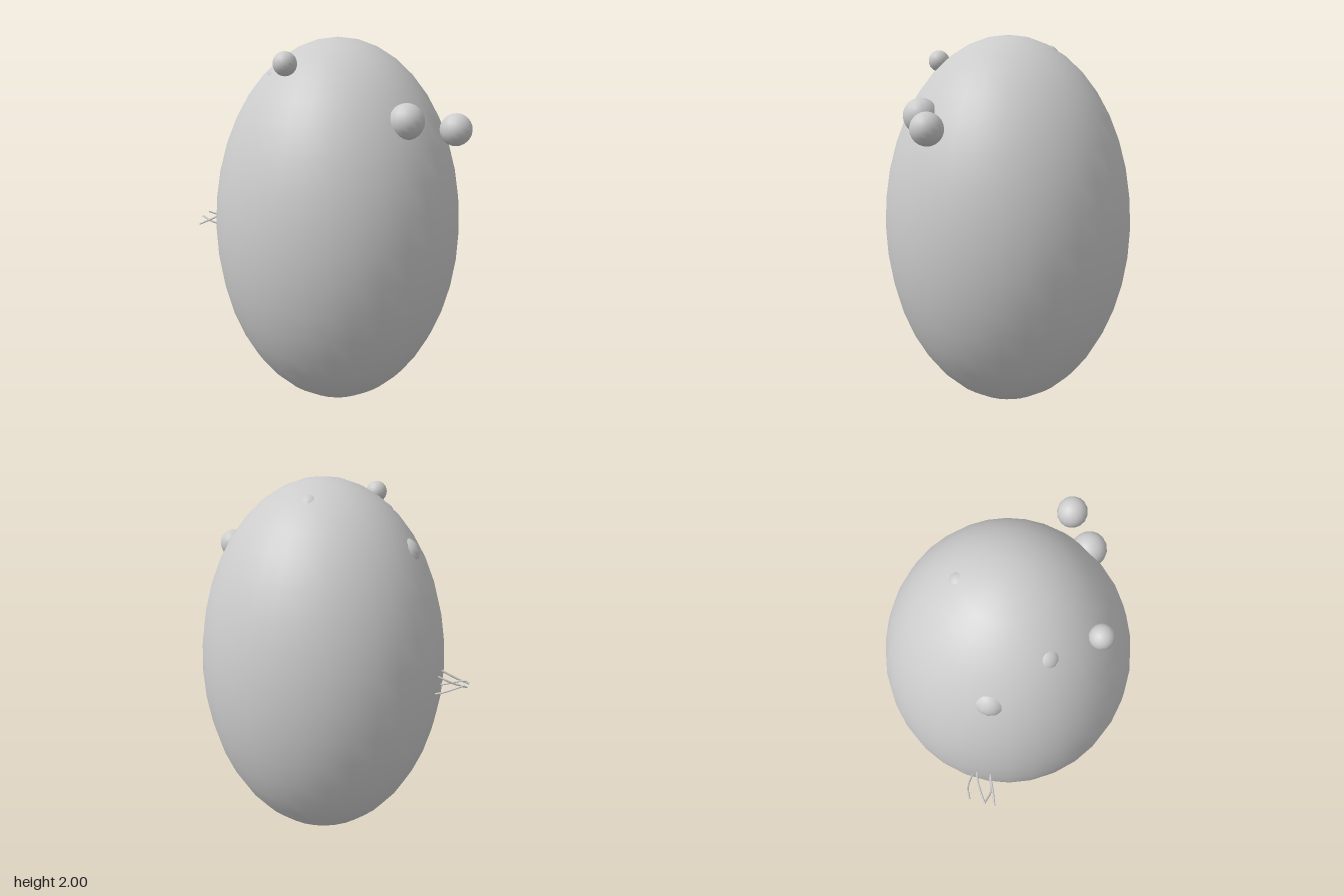
import * as THREE from 'three';

export function createModel() {
  const group = new THREE.Group();
  const grey = new THREE.MeshStandardMaterial({ color: 0xcccccc });
  grey.name = 'plain grey';

  function add(name, geometry, x = 0, y = 0, z = 0) {
    const mesh = new THREE.Mesh(geometry, grey);
    mesh.name = name;
    mesh.position.set(x, y, z);
    group.add(mesh);
    return mesh;
  }

  // Tall egg-like body
  const body = add('body', new THREE.SphereGeometry(1, 32, 20), 0.035, 1, 0);
  body.scale.set(0.663, 1, 0.663);

  // Small balls floating by the upper body or sunk into it: x, y, z, radius
  const balls = [
    ['floatingBallTop', -0.11, 1.87, 0.435, 0.058],
    ['floatingBallLeft', 0.68, 1.56, 0.215, 0.079],
    ['halfSunkBall', 0.457, 1.603, 0.328, 0.088],
    ['sunkBallRight', -0.395, 1.645, 0, 0.085],
    ['sunkBallFront', -0.21, 1.79, 0.21, 0.07],
    ['sunkBallBack', 0.02, 1.887, -0.208, 0.06],
  ];
  for (const [name, x, y, z, r] of balls) {
    add(name, new THREE.SphereGeometry(r, 16, 12), x, y, z);
  }

  // Fine curved hairs on the right side
  const hairs = [
    [[-0.56, 0.93, -0.055], [-0.63, 0.945, -0.073], [-0.70, 0.98, -0.078], [-0.765, 1.008, -0.055]],
    [[-0.56, 1.05, -0.035], [-0.63, 1.025, -0.042], [-0.70, 0.99, -0.015], [-0.765, 0.962, 0.025]],
    [[-0.56, 0.955, 0.01], [-0.63, 0.955, 0.025], [-0.70, 0.975, 0.043], [-0.765, 1.0, 0.025]],
    [[-0.56, 1.055, 0.02], [-0.63, 1.03, 0.03], [-0.70, 0.99, 0.055], [-0.765, 0.962, 0.075]],
  ];
  hairs.forEach((points, i) => {
    const path = new THREE.CatmullRomCurve3(points.map((p) => new THREE.Vector3(...p)));
    add('hair' + (i + 1), new THREE.TubeGeometry(path, 12, 0.005, 6));
  });

  return group;
}
